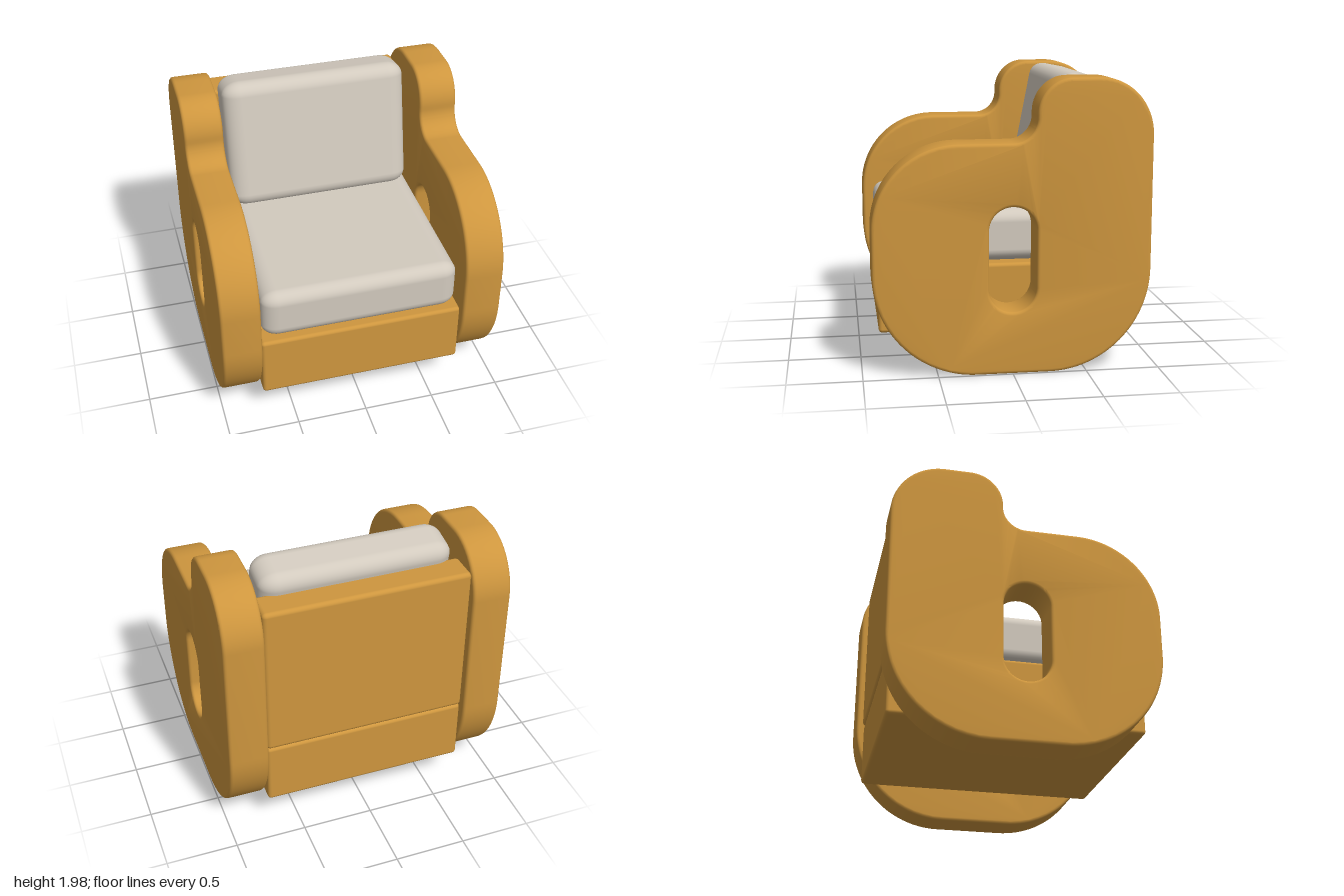
import * as THREE from 'three';
import { toCreasedNormals } from 'three/addons/utils/BufferGeometryUtils.js';
import { RoundedBoxGeometry } from 'three/addons/geometries/RoundedBoxGeometry.js';

const wood = new THREE.MeshStandardMaterial({ color: 0xce963e });
wood.name = 'warm wood';
const fabric = new THREE.MeshStandardMaterial({ color: 0xd2cabe });
fabric.name = 'pale fabric';

// Side panel outline, drawn as (z, y) and extruded across x
function sidePanelGeometry() {
  const s = new THREE.Shape();
  const PI = Math.PI;
  s.moveTo(-0.25, 0.005);
  s.lineTo(0.24, 0.005);
  s.absellipse(0.24, 0.7, 0.69, 0.695, -PI / 2, 0, false); // lower front
  s.lineTo(0.93, 0.99);
  s.absellipse(0.36, 0.99, 0.57, 0.57, 0, PI / 2, false); // arm front
  s.lineTo(0, 1.56);
  s.absellipse(0, 1.72, 0.16, 0.16, -PI / 2, -PI, true); // hollow behind the arm
  s.absellipse(-0.39, 1.74, 0.23, 0.24, 0, PI / 2, false); // wing front
  s.lineTo(-0.57, 1.98);
  s.absellipse(-0.57, 1.6, 0.365, 0.38, PI / 2, PI, false); // wing back
  s.lineTo(-0.935, 0.7);
  s.absellipse(-0.25, 0.7, 0.685, 0.695, PI, PI * 1.5, false); // lower back

  // Upright slot
  const slot = new THREE.Path();
  slot.moveTo(0.16, 0.59);
  slot.lineTo(0.16, 0.98);
  slot.absarc(0, 0.98, 0.16, 0, PI, false);
  slot.lineTo(-0.16, 0.59);
  slot.absarc(0, 0.59, 0.16, PI, PI * 2, false);
  s.holes.push(slot);

  const bevel = 0.022;
  const g = new THREE.ExtrudeGeometry(s, {
    depth: 0.276 - bevel * 2, curveSegments: 14,
    bevelEnabled: true, bevelThickness: bevel, bevelSize: bevel, bevelOffset: -bevel, bevelSegments: 3,
  });
  g.translate(0, 0, -(0.276 - bevel * 2) / 2);
  g.rotateY(-Math.PI / 2);
  return toCreasedNormals(g, 0.6);
}

function add(parent, name, geometry, material, x, y, z) {
  const mesh = new THREE.Mesh(geometry, material);
  mesh.name = name;
  mesh.position.set(x, y, z);
  parent.add(mesh);
  return mesh;
}

// Rounded block whose corners are stretched a little along x
function cushionGeometry(w, h, d, r) {
  const stretch = 1.3;
  const g = new RoundedBoxGeometry(w / stretch, h, d, 4, r);
  return g.scale(stretch, 1, 1);
}

export function createModel() {
  const chair = new THREE.Group();
  chair.name = 'armchair';

  // Side panels
  const panel = sidePanelGeometry();
  add(chair, 'leftSidePanel', panel, wood, 0.861, 0, 0);
  add(chair, 'rightSidePanel', panel, wood, -0.861, 0, 0);

  // Seat base and backboard
  add(chair, 'seatBase', new RoundedBoxGeometry(1.444, 0.46, 1.76, 3, 0.025), wood, 0, 0.47, 0);
  add(chair, 'backboard', new RoundedBoxGeometry(1.444, 1.11, 0.23, 3, 0.03), wood, 0, 1.26, -0.775);

  // Cushions
  add(chair, 'seatCushion', cushionGeometry(1.4, 0.37, 1.52, 0.09), fabric, 0, 0.885, 0.095);
  const back = add(chair, 'backCushion', cushionGeometry(1.35, 0.96, 0.34, 0.1), fabric, 0, 1.492, -0.47);
  back.rotation.x = -0.19; // leans backwards

  return chair;
}
